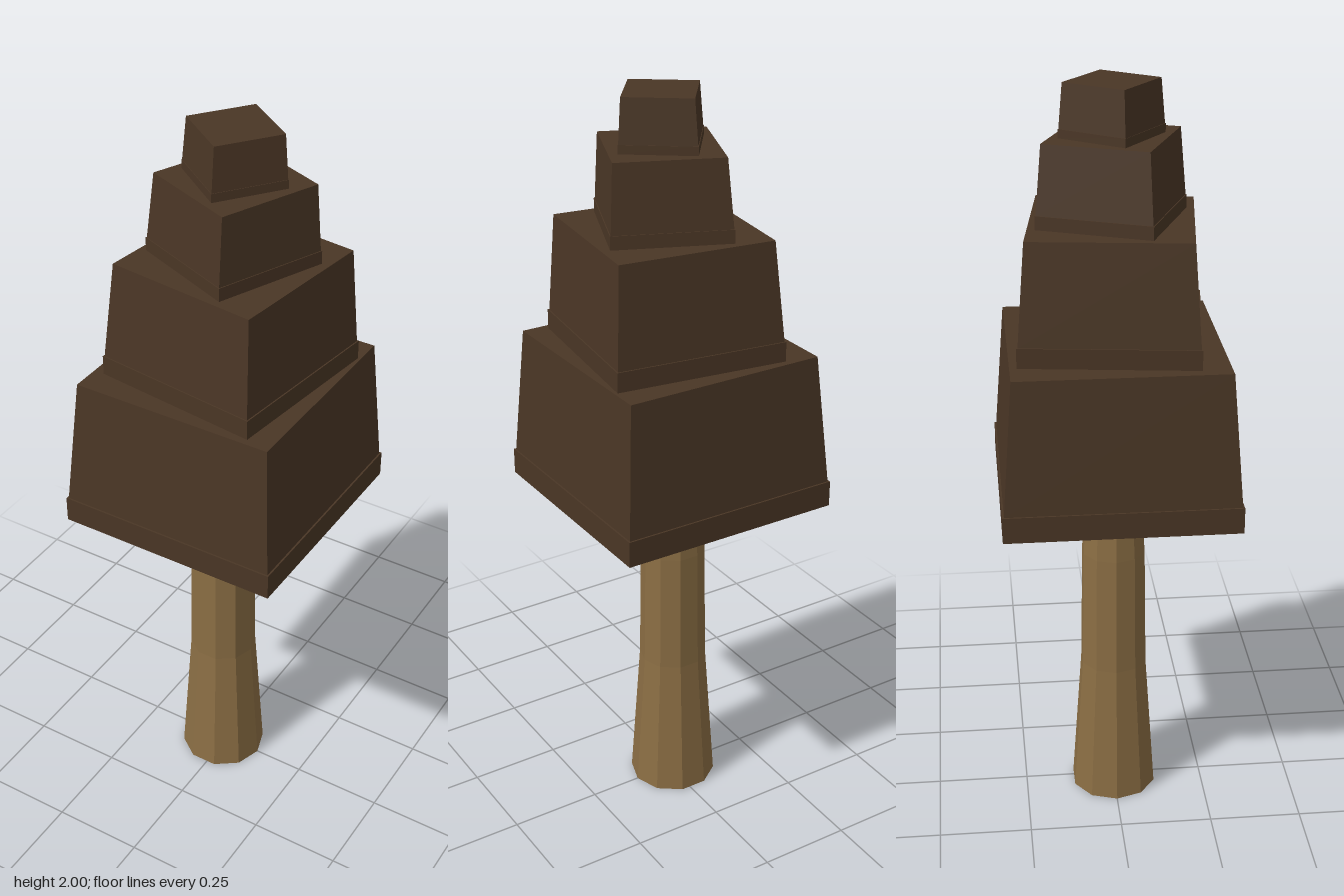
import * as THREE from 'three';

const foliage = new THREE.MeshStandardMaterial({ color: 0x4a3625, flatShading: true });
foliage.name = 'darkFoliage';
const bark = new THREE.MeshStandardMaterial({ color: 0x8b6e44, flatShading: true, side: THREE.DoubleSide });
bark.name = 'bark';

// Square frustum, turned about y, its top slid sideways by shift
function squareBlock(bottomHalf, topHalf, height, turn, shift) {
  const g = new THREE.CylinderGeometry(topHalf * Math.SQRT2, bottomHalf * Math.SQRT2, height, 4);
  g.rotateY(Math.PI / 4 + turn);
  g.translate(0, height / 2, 0);
  const p = g.attributes.position;
  for (let i = 0; i < p.count; i++) p.setX(i, p.getX(i) + (shift * p.getY(i)) / height);
  return g;
}

export function createModel() {
  const model = new THREE.Group();
  model.name = 'tree';

  const add = (parent, name, geometry, material, x, y) => {
    const mesh = new THREE.Mesh(geometry, material);
    mesh.name = name;
    mesh.position.set(x, y, 0);
    parent.add(mesh);
  };

  // Ten-sided trunk, flared at the foot and open underneath
  const profile = [[0.119, 0], [0.092, 0.4], [0.087, 0.74], [0.075, 0.93]]
    .map(([r, y]) => new THREE.Vector2(r, y));
  add(model, 'trunk', new THREE.LatheGeometry(profile, 10, Math.PI / 2), bark, -0.012, 0);

  // Stacked tiers: each a straight rim with a tapered block on it
  const tiers = [
    { y: 0.92, height: 0.42, half: 0.305, top: 0.274, turn: 0, x: 0, shift: 0.004 },
    { y: 1.34, height: 0.315, half: 0.229, top: 0.207, turn: -0.125, x: 0.014, shift: 0.006 },
    { y: 1.655, height: 0.21, half: 0.152, top: 0.138, turn: -0.394, x: 0.018, shift: 0.005 },
    { y: 1.865, height: 0.135, half: 0.0965, top: 0.088, turn: -0.64, x: 0.021, shift: 0.002 },
  ];
  tiers.forEach((t, i) => {
    const tier = new THREE.Group();
    tier.name = `foliageTier${i + 1}`;
    tier.position.set(t.x, t.y, 0);
    const rim = t.height / 6;
    add(tier, 'rim', squareBlock(t.half, t.half, rim, t.turn, 0), foliage, 0, 0);
    add(tier, 'block', squareBlock(t.half * 0.985, t.top, t.height - rim, t.turn, t.shift), foliage, 0, rim);
    model.add(tier);
  });

  return model;
}
